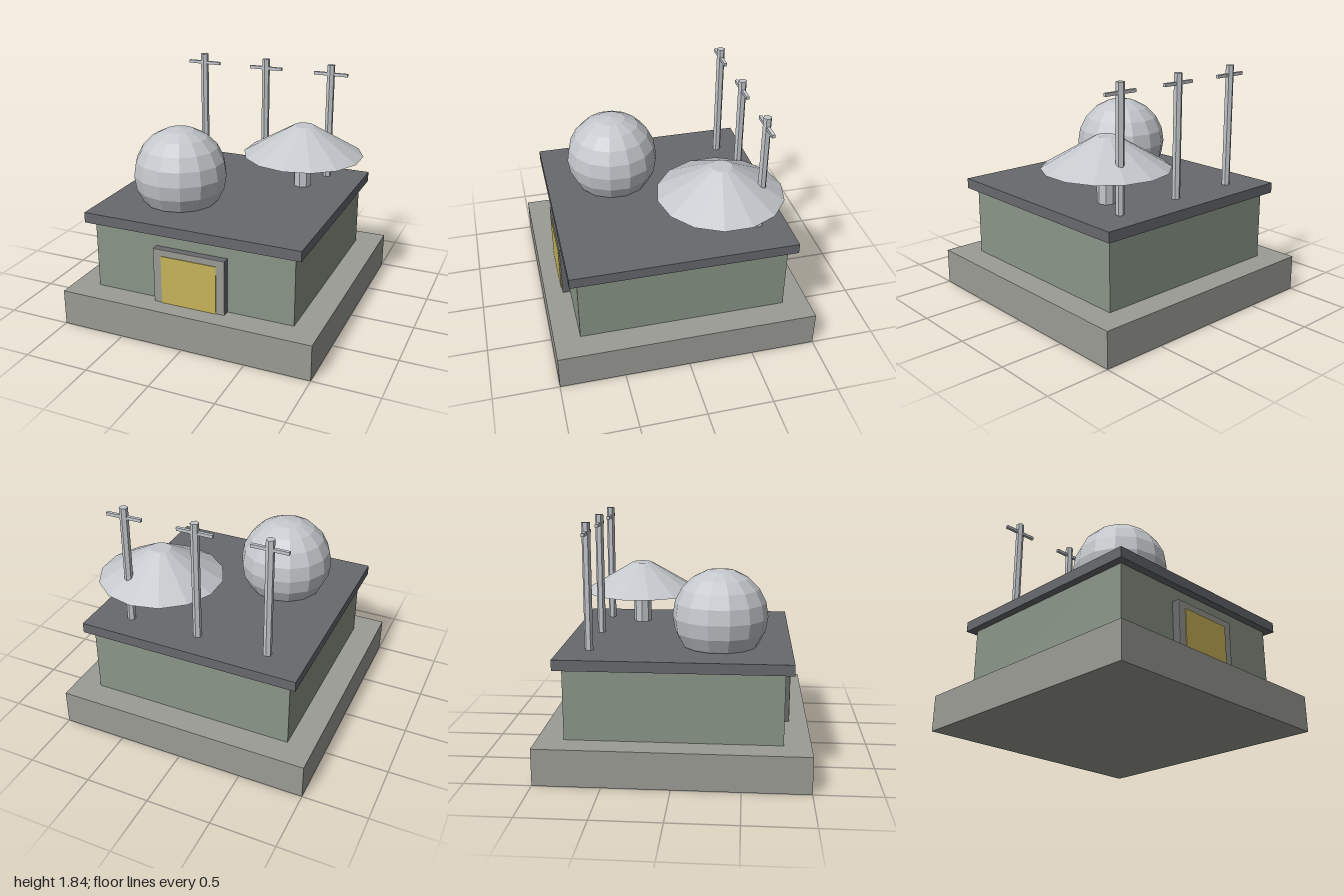
import * as THREE from 'three';

const mat = (color) => new THREE.MeshStandardMaterial({ color, flatShading: true });

export function createModel() {
  const model = new THREE.Group();
  model.name = 'outpostBuilding';

  const stone = mat(0x9c9c96), wallGreen = mat(0x8b9688), slate = mat(0x67696e);
  const amber = mat(0xc8b45a), metal = mat(0xc4c8cc);

  const add = (name, geometry, material, x, y, z, parent = model) => {
    const mesh = new THREE.Mesh(geometry, material);
    mesh.name = name;
    mesh.position.set(x, y, z);
    parent.add(mesh);
    return mesh;
  };
  // Box standing on height y
  const box = (name, w, h, d, material, x, y, z, parent) =>
    add(name, new THREE.BoxGeometry(w, h, d), material, x, y + h / 2, z, parent);

  // Plinth, walls and overhanging roof
  box('base', 2, 0.28, 2, stone, 0, 0, 0);
  box('walls', 1.6, 0.54, 1.6, wallGreen, 0, 0.28, 0);
  box('roofSlab', 1.72, 0.08, 1.72, slate, 0, 0.82, 0);

  // Doorway: dark surround, pale facing and amber door
  box('doorSurround', 0.57, 0.43, 0.055, slate, 0, 0.28, 0.8275);
  box('doorFacing', 0.57, 0.43, 0.004, stone, 0, 0.28, 0.857);
  box('door', 0.44, 0.38, 0.05, amber, 0, 0.28, 0.84);

  // Faceted dome sunk into the roof
  const dome = new THREE.SphereGeometry(0.36, 14, 10).rotateY(Math.PI / 2);
  add('dome', dome, metal, -0.32, 1.12, 0.32);

  // Broad conical dish on a short post
  add('dishPost', new THREE.CylinderGeometry(0.072, 0.072, 0.27, 8), metal, 0.44, 1.035, -0.36);
  add('dish', new THREE.CylinderGeometry(0.08, 0.48, 0.235, 14), metal, 0.44, 1.2825, -0.36);

  // Row of three antenna masts with crossbars
  for (const x of [-0.56, 0, 0.56]) {
    const mast = new THREE.Group();
    mast.name = 'antennaMast';
    mast.position.set(x, 0, -0.64);
    add('mastPole', new THREE.CylinderGeometry(0.032, 0.032, 0.94, 6), metal, 0, 1.37, 0, mast);
    box('mastCrossbar', 0.28, 0.024, 0.024, metal, 0, 1.753, 0, mast);
    model.add(mast);
  }
  return model;
}
